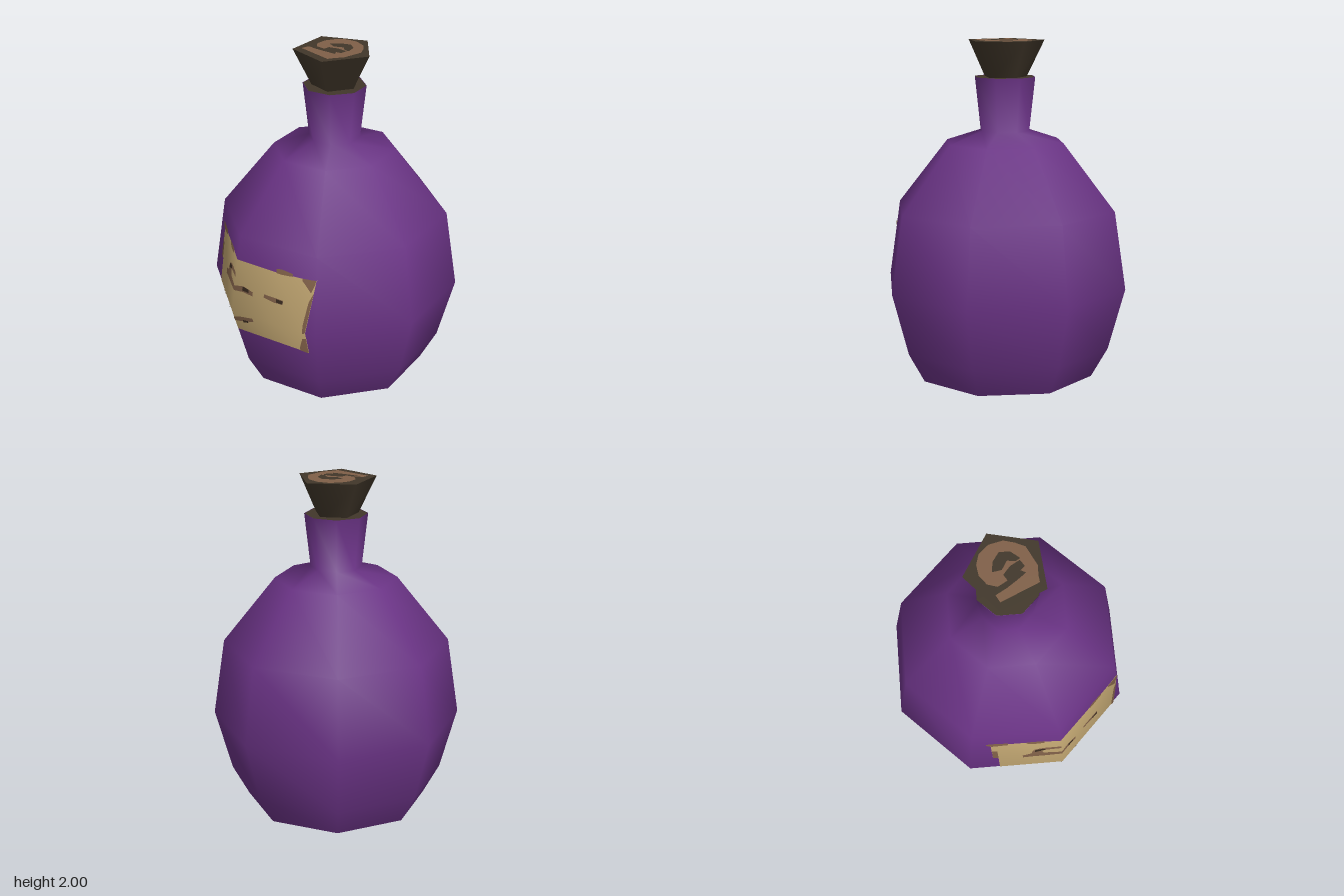
import * as THREE from 'three';

const paint = (name, color, double = true) => {
  const m = new THREE.MeshStandardMaterial({ color });
  m.name = name;
  if (double) m.side = THREE.DoubleSide;
  return m;
};

// bottle outline as [radius, height]
const profile = [[0.54, 0], [0.64, 0.18], [0.74, 0.55], [0.67, 1.01], [0.36, 1.4], [0.15, 1.47], [0.185, 1.785]];

function radiusAt(y) {
  const i = profile.findIndex((p, k) => k > 0 && y <= p[1]);
  const [r0, y0] = profile[i - 1], [r1, y1] = profile[i];
  return r0 + (r1 - r0) * (y - y0) / (y1 - y0);
}

// Thin patch folded over the two front facets; columns are [x, low y, high y]
function patchGeometry(columns, offset) {
  const cols = [];
  columns.forEach((c, i) => {
    const p = columns[i - 1];
    if (p && p[0] < 0 && c[0] > 0) {
      const t = -p[0] / (c[0] - p[0]);
      cols.push([0, p[1] + (c[1] - p[1]) * t, p[2] + (c[2] - p[2]) * t]);
    }
    cols.push(c);
  });
  const pos = [], nor = [], index = [];
  const slope = Math.tan(Math.PI / 8);
  cols.forEach(([x, lo, hi], i) => {
    const mid = lo < 0.549 && hi > 0.551 ? 0.55 : (lo + hi) / 2;
    for (const y of [lo, mid, hi]) {
      const z = radiusAt(y) - Math.abs(x) * slope;
      const n = new THREE.Vector3(x, (y - 0.58) * 0.8 * z, z).normalize();
      pos.push(x, y, z + offset);
      nor.push(n.x, n.y, n.z);
    }
    if (i) for (let k = 0; k < 2; k++) {
      const a = (i - 1) * 3 + k, b = i * 3 + k;
      index.push(a, b, a + 1, b, b + 1, a + 1);
    }
  });
  const g = new THREE.BufferGeometry();
  g.setAttribute('position', new THREE.Float32BufferAttribute(pos, 3));
  g.setAttribute('normal', new THREE.Float32BufferAttribute(nor, 3));
  g.setIndex(index);
  return g;
}

export function createModel() {
  const purple = paint('purple glass', 0x6a3385);
  const cork = paint('dark cork', 0x41372a);
  const brown = paint('worn brown', 0x806048);
  const parchment = paint('parchment', 0xbfa470);
  const ink = paint('dark ink', 0x3a2b20);

  const model = new THREE.Group();
  model.name = 'bottle';
  const add = (name, geometry, material, parent = model) => {
    const mesh = new THREE.Mesh(geometry, material);
    mesh.name = name;
    parent.add(mesh);
    return mesh;
  };

  // eight-sided glass, open underneath
  add('glass', new THREE.LatheGeometry(profile.map(p => new THREE.Vector2(...p)), 8), purple);

  // closed mouth of the neck
  const mouth = add('neckTop', new THREE.CircleGeometry(0.183, 8), cork);
  mouth.rotation.x = -Math.PI / 2;
  mouth.position.y = 1.784;

  // five-sided flared stopper
  const stopper = add('stopper', new THREE.CylinderGeometry(0.237, 0.12, 0.236, 5), cork);
  stopper.rotation.y = Math.PI;
  stopper.position.y = 1.878;

  // swirl of grain on the stopper, points as [x, z]
  const grain = (name, points, material, y) => {
    const shape = new THREE.Shape(points.map(([x, z]) => new THREE.Vector2(x, -z)));
    const mesh = add(name, new THREE.ShapeGeometry(shape), material);
    mesh.rotation.x = -Math.PI / 2;
    mesh.position.y = y;
  };
  grain('stopperGrain', [[-0.146, -0.04], [-0.13, -0.1], [-0.09, -0.15], [-0.02, -0.174], [0.06, -0.16],
    [0.11, -0.12], [0.15, -0.075], [0.157, 0.05], [0.134, 0.1], [0.122, 0.14], [-0.114, 0.146],
    [-0.118, 0.1], [-0.085, 0.063], [-0.13, 0.025]], brown, 1.998);
  grain('stopperUpperCurl', [[-0.075, -0.024], [-0.047, -0.075], [0.008, -0.11], [0.063, -0.087],
    [0.094, -0.028], [0.063, -0.024], [0.024, -0.047], [-0.024, -0.012]], cork, 2);
  grain('stopperLowerCurl', [[-0.119, 0.1], [-0.085, 0.063], [-0.024, 0.055], [-0.03, 0.016], [0.024, -0.012],
    [0.087, -0.02], [0.094, 0.024], [0.063, 0.035], [0.083, 0.059], [0.024, 0.075], [-0.047, 0.091]], cork, 2);

  // label showing on the outside and the inside of the glass
  const sheet = [
    [[-0.385, 0.69, 0.89], [-0.352, 0.69, 0.885]],
    [[-0.385, 0.405, 0.53], [-0.352, 0.407, 0.54]],
    [[-0.355, 0.407, 0.885], [-0.15, 0.412, 0.88], [0, 0.415, 0.87], [0.25, 0.407, 0.862], [0.45, 0.4, 0.872],
      [0.4625, 0.55, 0.875], [0.49, 0.86, 0.88]],
  ];
  const worn = [
    // torn edges
    [[-0.41, 0.89, 0.905], [-0.38, 0.87, 0.908], [-0.29, 0.875, 0.9]],
    [[-0.19, 0.875, 0.89], [-0.15, 0.86, 0.892], [-0.09, 0.865, 0.89]],
    [[0.25, 0.86, 0.885], [0.28, 0.858, 0.89], [0.35, 0.865, 0.882]],
    [[-0.385, 0.7, 0.8], [-0.355, 0.69, 0.79]],
    [[-0.39, 0.405, 0.48], [-0.36, 0.407, 0.5], [-0.34, 0.408, 0.44]],
    [[0.4, 0.401, 0.42], [0.435, 0.4, 0.5], [0.45, 0.4, 0.505], [0.459, 0.5, 0.51]],
    [[0.445, 0.54, 0.6], [0.4625, 0.55, 0.74], [0.485, 0.79, 0.8]],
    [[0.41, 0.86, 0.872], [0.47, 0.8, 0.878], [0.49, 0.86, 0.882]],
    // faded writing
    [[-0.15, 0.74, 0.775], [-0.1, 0.76, 0.79], [0, 0.765, 0.79]],
    [[-0.22, 0.67, 0.7], [-0.17, 0.675, 0.72], [-0.16, 0.675, 0.76], [-0.12, 0.675, 0.77], [-0.1, 0.675, 0.72],
      [0, 0.68, 0.71], [0.06, 0.685, 0.72], [0.12, 0.675, 0.7]],
    [[0.19, 0.69, 0.71], [0.26, 0.678, 0.708], [0.31, 0.68, 0.705]],
    [[-0.22, 0.48, 0.505], [-0.17, 0.485, 0.535], [-0.07, 0.51, 0.535]],
    [[0, 0.48, 0.505], [0.04, 0.485, 0.52], [0.13, 0.51, 0.535]],
  ];
  const marks = [
    [[-0.15, 0.745, 0.77], [-0.12, 0.755, 0.78], [-0.09, 0.765, 0.782]],
    [[0.055, 0.695, 0.72], [0.095, 0.69, 0.71]],
    [[0.27, 0.685, 0.705], [0.31, 0.682, 0.703]],
    [[-0.125, 0.485, 0.5], [-0.095, 0.49, 0.503]],
    [[0.06, 0.485, 0.502], [0.095, 0.492, 0.505]],
  ];
  for (const [side, sign] of [['outer', 1], ['inner', -1]]) {
    const label = new THREE.Group();
    label.name = side + 'Label';
    model.add(label);
    [['sheet', sheet, parchment], ['wornPatch', worn, brown], ['inkMark', marks, ink]].forEach(([name, list, mat], layer) => {
      for (const columns of list) add(name, patchGeometry(columns, sign * 0.003 * (layer + 1)), mat, label);
    });
  }
  return model;
}
